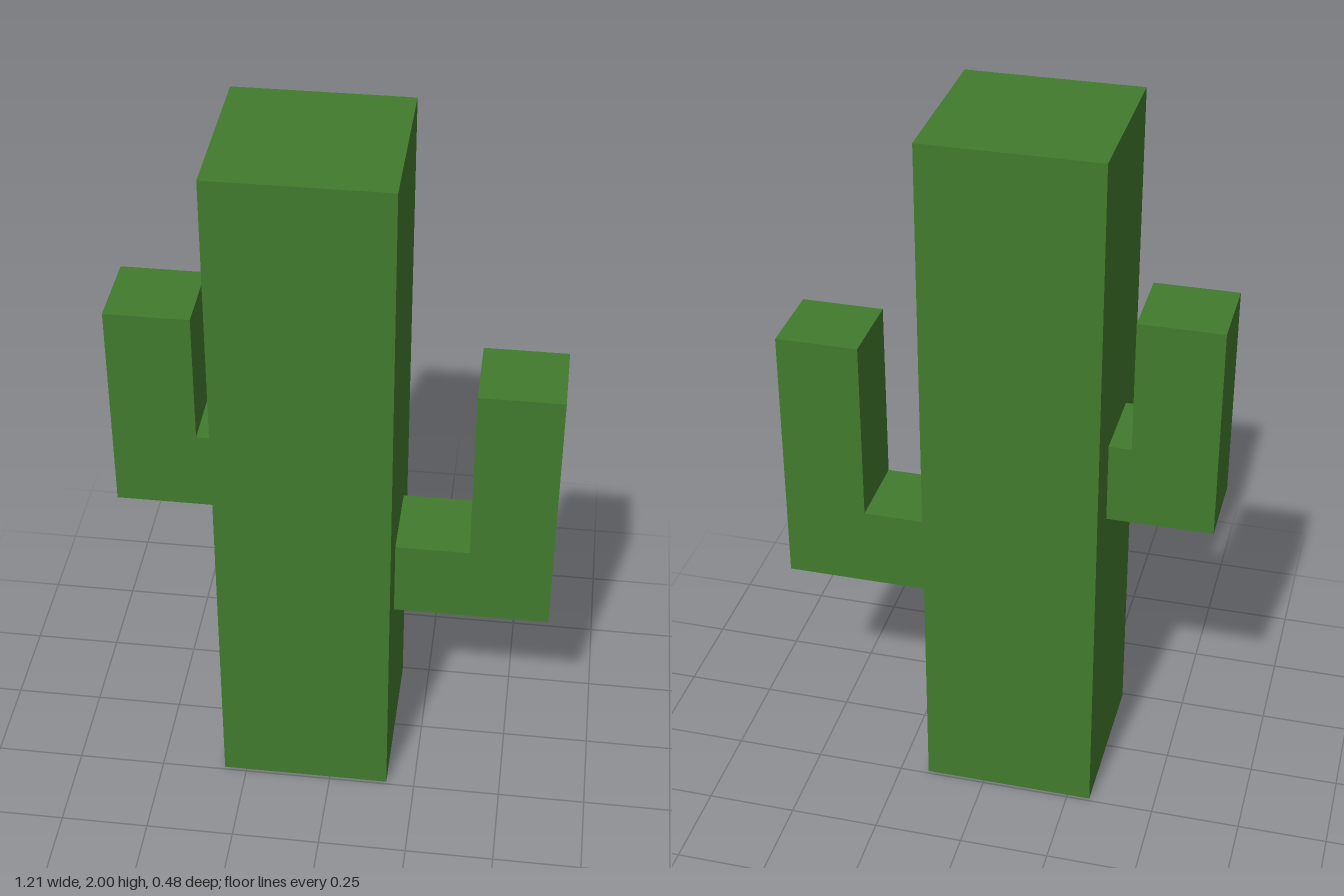
import * as THREE from 'three';

export function createModel() {
  const model = new THREE.Group();
  model.name = 'cactus';
  const cactusGreen = new THREE.MeshStandardMaterial({ color: 0x427b2d });
  cactusGreen.name = 'cactusGreen';

  function add(name, geometry) {
    const mesh = new THREE.Mesh(geometry, cactusGreen);
    mesh.name = name;
    model.add(mesh);
    return mesh;
  }

  // Square trunk, slightly off centre
  const left = 0.168, right = -0.315;
  const trunk = add('trunk', new THREE.BoxGeometry(left - right, 2, 0.482));
  trunk.position.set((left + right) / 2, 1, 0);

  // L-shaped arm: runs out from the trunk, then turns upward
  const thick = 0.231;
  function addArm(name, root, tip, bottom, top) {
    const elbow = tip - Math.sign(tip) * thick;
    const outline = new THREE.Shape([
      [root, bottom], [tip, bottom], [tip, top],
      [elbow, top], [elbow, bottom + thick], [root, bottom + thick],
    ].map(([x, y]) => new THREE.Vector2(x, y)));
    const geometry = new THREE.ExtrudeGeometry(outline, { depth: thick, bevelEnabled: false });
    geometry.translate(0, 0, -0.118);
    add(name, geometry);
  }
  addArm('leftArm', left, 0.605, 0.57, 1.33);
  addArm('rightArm', right, -0.608, 0.9, 1.51);

  return model;
}
